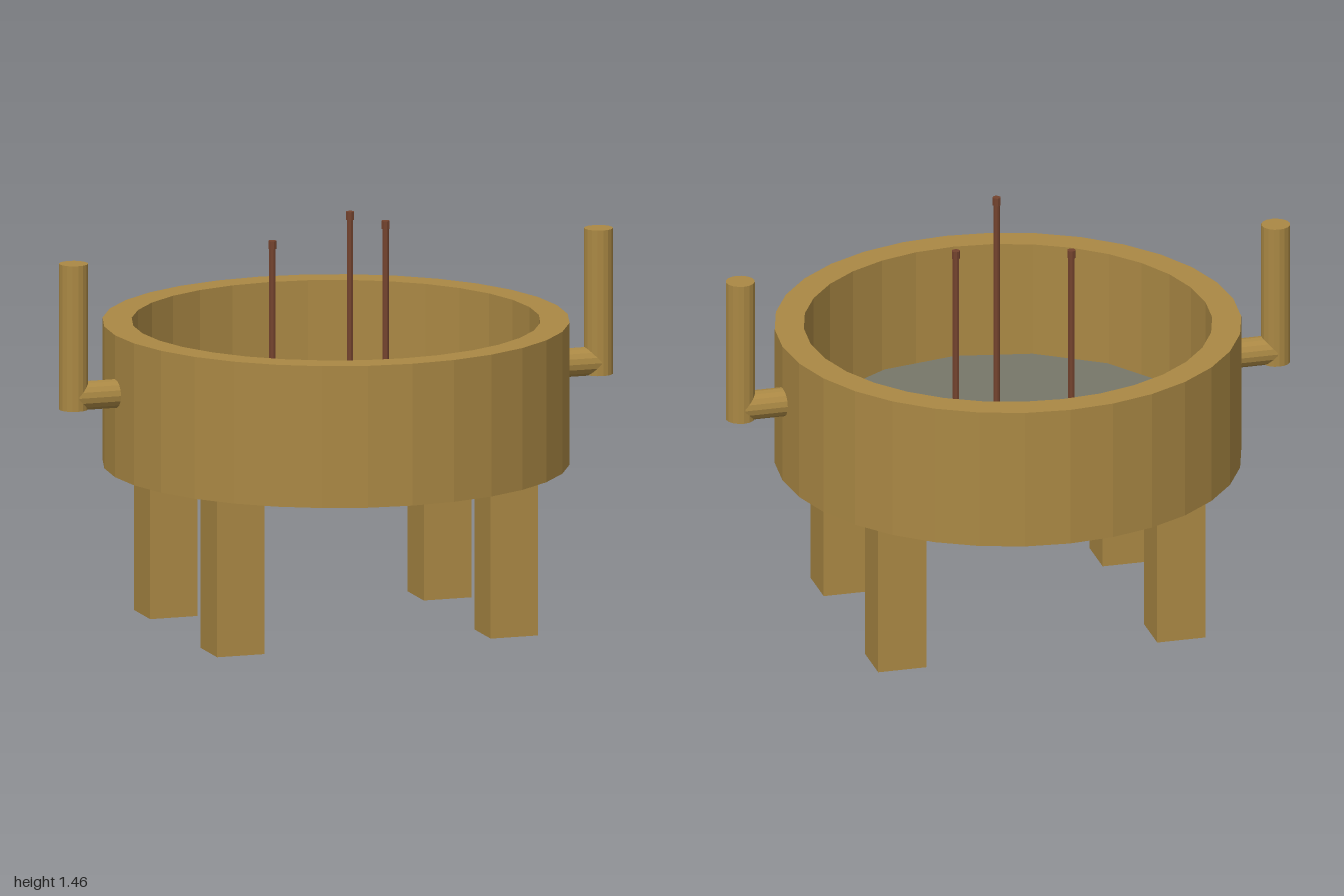
import * as THREE from 'three';

export function createModel() {
  const model = new THREE.Group();
  const bronze = new THREE.MeshStandardMaterial({ name: 'bronze', color: 0xaa8844, flatShading: true });
  const ashGrey = new THREE.MeshStandardMaterial({ name: 'ash grey', color: 0x777769, flatShading: true });
  const stickBrown = new THREE.MeshStandardMaterial({ name: 'stick brown', color: 0x74432e, flatShading: true });

  function add(name, geometry, material, x, y, z, parent = model) {
    const mesh = new THREE.Mesh(geometry, material);
    mesh.name = name;
    mesh.position.set(x, y, z);
    parent.add(mesh);
    return mesh;
  }

  // Thick open ring forming the bowl wall
  const profile = [[0.7, 0.56], [0.8, 0.56], [0.8, 1.055], [0.7, 1.055], [0.7, 0.56]]
    .map(([r, y]) => new THREE.Vector2(r, y));
  add('bowlWall', new THREE.LatheGeometry(profile, 32), bronze, 0, 0, 0);

  // Ash bed, slightly smaller than the wall opening
  add('ashBed', new THREE.CylinderGeometry(0.688, 0.688, 0.05, 16), ashGrey, 0, 0.63, 0);

  // Four square legs reaching up to the ash bed
  const legGeometry = new THREE.BoxGeometry(0.172, 0.605, 0.172);
  for (const sx of [-1, 1]) {
    for (const sz of [-1, 1]) add('leg', legGeometry, bronze, sx * 0.495, 0.3025, sz * 0.35);
  }

  // Mirrored handles: a short side arm and an upright post
  const armGeometry = new THREE.CylinderGeometry(0.05, 0.05, 0.195, 16);
  const postGeometry = new THREE.CylinderGeometry(0.05, 0.05, 0.508, 16);
  for (const side of [-1, 1]) {
    const handle = new THREE.Group();
    handle.name = side > 0 ? 'leftHandle' : 'rightHandle';
    add('handleArm', armGeometry, bronze, side * 0.8475, 0.852, 0, handle).rotation.z = Math.PI / 2;
    add('handlePost', postGeometry, bronze, side * 0.95, 1.061, 0, handle);
    model.add(handle);
  }

  // Three incense sticks with thicker tips: x, z, top height
  for (const [x, z, top] of [[-0.205, -0.073, 1.332], [0.205, -0.073, 1.375], [0, 0.146, 1.462]]) {
    const stick = new THREE.Group();
    stick.name = 'incenseStick';
    const base = 0.64;
    const length = top - 0.02 - base;
    add('stickShaft', new THREE.CylinderGeometry(0.0115, 0.0115, length, 8), stickBrown, x, base + length / 2, z, stick);
    add('stickTip', new THREE.CylinderGeometry(0.0145, 0.0145, 0.028, 8), stickBrown, x, top - 0.014, z, stick);
    model.add(stick);
  }

  return model;
}
